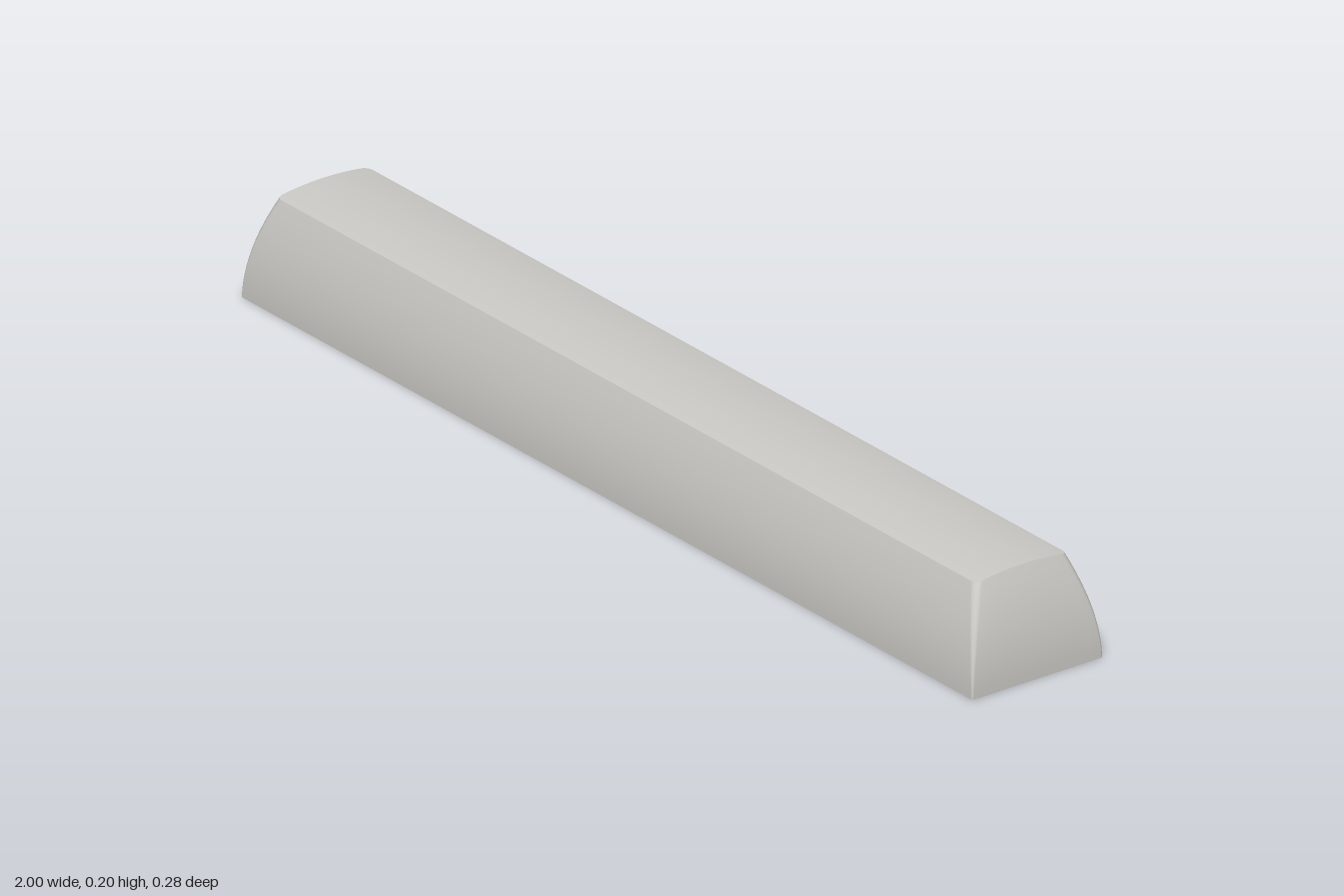
import * as THREE from 'three';

const STEPS = 12; // levels from the rim up to the top edge
const HEIGHT = 0.196;
const STEMS = [-0.857, 0, 0.65, 0.857];
const WALL = 0.016;

// Crowned top: highest along the middle, falling towards front and back
const crown = (z) => HEIGHT - 0.008 * (z / 0.097) ** 2;

// Rounded rectangle at level t (0 rim, 1 top); first half is +x, second half its mirror
function ring(t, inset, drop) {
  const hx = 1 - inset - 0.043 * t * t;
  const hz = 0.138 - inset - 0.041 * t * t;
  const r = 0.003 + 0.011 * t;
  const half = [];
  const corner = (sign, from) => {
    for (let k = 0; k <= 5; k++) {
      const a = from + (k / 5) * Math.PI / 2;
      half.push([hx - r + r * Math.cos(a), sign * (hz - r) + r * Math.sin(a)]);
    }
  };
  corner(-1, -Math.PI / 2);
  for (let k = 1; k < 12; k++) half.push([hx, (hz - r) * (k / 6 - 1)]);
  corner(1, 0);
  const mirrored = half.map(([x, z]) => [-x, z]).reverse();
  return [...half, ...mirrored].map(([x, z]) => [x, t * (crown(z) - drop), z]);
}

function surface(points, index, flip) {
  if (flip) for (let i = 0; i < index.length; i += 3) [index[i], index[i + 1]] = [index[i + 1], index[i]];
  const g = new THREE.BufferGeometry();
  g.setAttribute('position', new THREE.Float32BufferAttribute(points.flat(), 3));
  g.setIndex(index);
  g.computeVertexNormals();
  return g;
}

// Closed band through a stack of rings
function band(rings, flip = false) {
  const m = rings[0].length;
  const index = [];
  for (let j = 0; j < rings.length - 1; j++) {
    for (let i = 0; i < m; i++) {
      const n = (i + 1) % m;
      const a = j * m + i, b = j * m + n, c = b + m, d = a + m;
      index.push(a, d, b, b, d, c);
    }
  }
  return surface(rings.flat(), index, flip);
}

// Cap made of strips joining each point to its mirror point
function cap(points, flip = false) {
  const m = points.length;
  const index = [];
  for (let i = 0; i < m / 2 - 1; i++) {
    const p = i, q = i + 1, pm = m - 1 - i, qm = m - 2 - i;
    index.push(pm, qm, p, qm, q, p);
  }
  return surface(points, index, flip);
}

// Round post with a cross-shaped socket, open at the bottom
function stemGeometry(height) {
  const shape = new THREE.Shape().absarc(0, 0, 0.044, 0, Math.PI * 2, false);
  const l = 0.033, w = 0.01;
  const cross = [[l, w], [w, w], [w, l], [-w, l], [-w, w], [-l, w],
    [-l, -w], [-w, -w], [-w, -l], [w, -l], [w, -w], [l, -w]];
  shape.holes.push(new THREE.Path(cross.map(([x, y]) => new THREE.Vector2(x, y)).reverse()));
  const g = new THREE.ExtrudeGeometry(shape, { depth: height, bevelEnabled: false, curveSegments: 16 });
  return g.rotateX(-Math.PI / 2);
}

export function createModel() {
  const model = new THREE.Group();
  model.name = 'longKeycap';
  const plastic = new THREE.MeshStandardMaterial({ color: 0xcccac6 });
  plastic.name = 'warm grey plastic';

  const add = (name, geometry) => {
    const mesh = new THREE.Mesh(geometry, plastic);
    mesh.name = name;
    model.add(mesh);
    return mesh;
  };

  // Hollow shell
  const levels = Array.from({ length: STEPS + 1 }, (_, i) => i / STEPS);
  const outer = levels.map((t) => ring(t, 0, 0));
  const inner = levels.map((t) => ring(t, WALL, 0.02));
  add('outerWalls', band(outer));
  add('topSurface', cap(outer[STEPS]));
  add('innerWalls', band(inner, true));
  add('ceiling', cap(inner[STEPS], true));
  add('bottomRim', band([inner[0], outer[0]]));

  // Mounting stems
  const stem = stemGeometry(0.18);
  for (const x of STEMS) add('mountingStem', stem).position.x = x;

  // Lengthwise rib, interrupted at each stem
  const stops = [-0.99, ...STEMS, 0.99];
  for (let i = 0; i < stops.length - 1; i++) {
    const x0 = stops[i] + 0.038, x1 = stops[i + 1] - 0.038;
    add('stiffeningRib', new THREE.BoxGeometry(x1 - x0, 0.12, 0.04))
      .position.set((x0 + x1) / 2, 0.12, 0);
  }
  return model;
}
